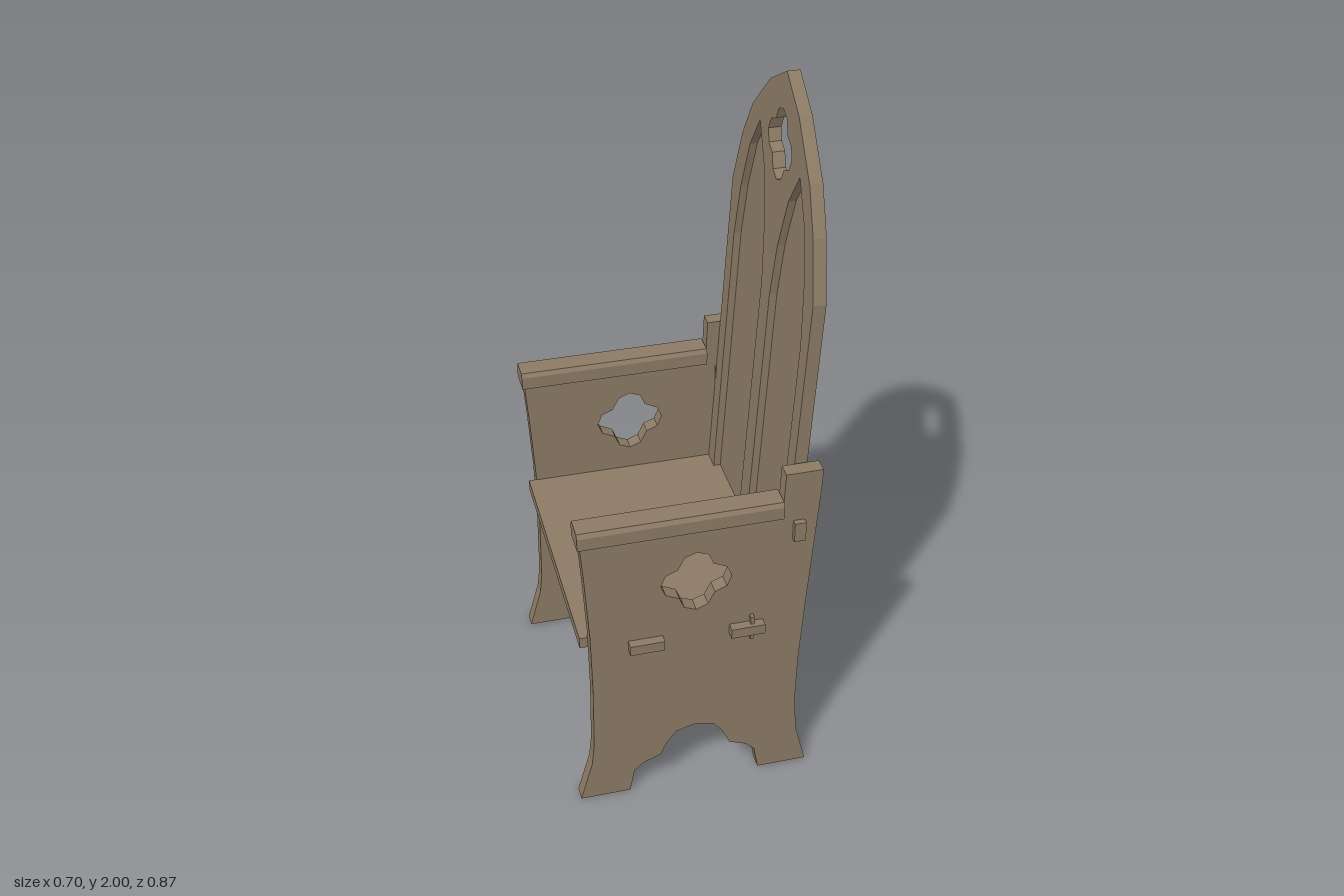
import * as THREE from 'three';

const wood = new THREE.MeshStandardMaterial({ color: 0x8b7a64 });
wood.name = 'wood';

const toPoints = (list) => list.map(([x, y]) => new THREE.Vector2(x, y));

// Four-lobed opening with faceted lobes
function quatrefoil(cx, cy) {
  const pts = [];
  for (let lobe = 0; lobe < 4; lobe++) {
    const a = lobe * Math.PI / 2;
    for (let i = -2; i < 2; i++) {
      const b = a + i * Math.PI / 4;
      pts.push([cx + 0.052 * Math.cos(a) + 0.047 * Math.cos(b),
        cy + 0.052 * Math.sin(a) + 0.047 * Math.sin(b)]);
    }
  }
  return new THREE.Path(toPoints(pts));
}

function plate(outline, hole, depth) {
  const shape = new THREE.Shape(toPoints(outline));
  if (hole) shape.holes.push(hole);
  return new THREE.ExtrudeGeometry(shape, { depth, bevelEnabled: false });
}

function add(parent, name, geometry) {
  const mesh = new THREE.Mesh(geometry, wood);
  mesh.name = name;
  parent.add(mesh);
  return mesh;
}

// Box given by its limits on each axis
function box(parent, name, x0, x1, y0, y1, z0, z1) {
  const mesh = add(parent, name, new THREE.BoxGeometry(x1 - x0, y1 - y0, z1 - z0));
  mesh.position.set((x0 + x1) / 2, (y0 + y1) / 2, (z0 + z1) / 2);
}

// Plate drawn in (z, y), standing across the chair and leaning backwards
function leaningPlate(outline, hole, x, depth) {
  const lean = 0.0575, foot = 0.57;
  const g = plate(outline, hole, depth).rotateY(Math.PI / 2);
  return g.applyMatrix4(new THREE.Matrix4().set(
    1, lean, 0, x - lean * foot,
    0, 1, 0, 0,
    0, 0, 1, 0,
    0, 0, 0, 1));
}

const sideOutline = [
  [-0.35, 0], [-0.205, 0], [-0.192, 0.075], [-0.165, 0.1], [-0.115, 0.12],
  [-0.095, 0.165], [-0.07, 0.2], [-0.015, 0.217], [0.04, 0.205], [0.065, 0.175],
  [0.09, 0.12], [0.14, 0.1], [0.165, 0.075], [0.178, 0],
  [0.322, 0], [0.29, 0.13], [0.282, 0.25], [0.285, 0.4], [0.297, 0.6], [0.311, 0.8],
  [0.325, 1.0], [0.327, 1.055], [0.225, 1.055], [0.22, 0.93],
  [-0.332, 0.93], [-0.322, 0.8], [-0.31, 0.6], [-0.306, 0.4], [-0.308, 0.2], [-0.315, 0.13],
];

// Pointed outline of the backrest, right foot to left foot over the apex
const archHalf = [[0.365, 0.57], [0.362, 1.53], [0.31, 1.69], [0.245, 1.805], [0.12, 1.93]];
const mirrored = archHalf.map(([z, y]) => [-z, y]).reverse();
const backOutline = [...archHalf, [0, 2], ...mirrored];

// Pointed recess, open at the seat
function lancet(center) {
  const half = [[-0.135, 0.57], [-0.135, 1.38], [-0.112, 1.54], [-0.065, 1.69]];
  const other = half.map(([z, y]) => [-z, y]).reverse();
  return [...half, [0, 1.79], ...other].map(([z, y]) => [z + center, y]);
}

// Chamfered section of an armrest, drawn in (z, y)
const armSection = [[-0.038, 0.922], [0.038, 0.922], [0.038, 0.96], [0.03, 0.972],
  [-0.03, 0.972], [-0.038, 0.96]];

function createSide(sign) {
  const side = new THREE.Group();
  side.name = sign > 0 ? 'sideNear' : 'sideFar';

  const panel = add(side, 'sidePanel', plate(sideOutline, quatrefoil(-0.015, 0.745), 0.042));
  panel.position.z = sign * 0.389 - 0.021;

  const arm = add(side, 'armrest', plate(armSection, null, 0.56).rotateY(Math.PI / 2));
  arm.position.set(-0.34, 0, sign * 0.387);

  const span = (name, x0, x1, y0, y1, a, b) =>
    box(side, name, x0, x1, y0, y1, Math.min(a * sign, b * sign), Math.max(a * sign, b * sign));
  // Seat tenons with a locking wedge, and the backrest tenon
  span('frontTenon', -0.205, -0.108, 0.541, 0.572, 0.36, 0.436);
  span('rearTenon', 0.08, 0.176, 0.541, 0.572, 0.36, 0.436);
  span('wedge', 0.137, 0.147, 0.518, 0.596, 0.405, 0.425);
  span('backTenon', 0.25, 0.282, 0.84, 0.9, 0.36, 0.427);
  return side;
}

export function createModel() {
  const chair = new THREE.Group();
  chair.name = 'chair';

  chair.add(createSide(1), createSide(-1));

  // Seat board and the batten beneath its rear
  box(chair, 'seat', -0.332, 0.293, 0.54, 0.574, -0.37, 0.37);
  box(chair, 'seatBatten', 0.235, 0.27, 0.508, 0.541, -0.37, 0.37);

  // Backrest: solid rear layer and a front layer with two recesses
  const back = new THREE.Group();
  back.name = 'backrest';
  add(back, 'backBoard', leaningPlate(backOutline, quatrefoil(0, 1.8), 0.255, 0.014));
  const tracery = [...backOutline, ...lancet(-0.172), ...lancet(0.172)];
  add(back, 'backTracery', leaningPlate(tracery, quatrefoil(0, 1.8), 0.234, 0.021));
  chair.add(back);

  return chair;
}
